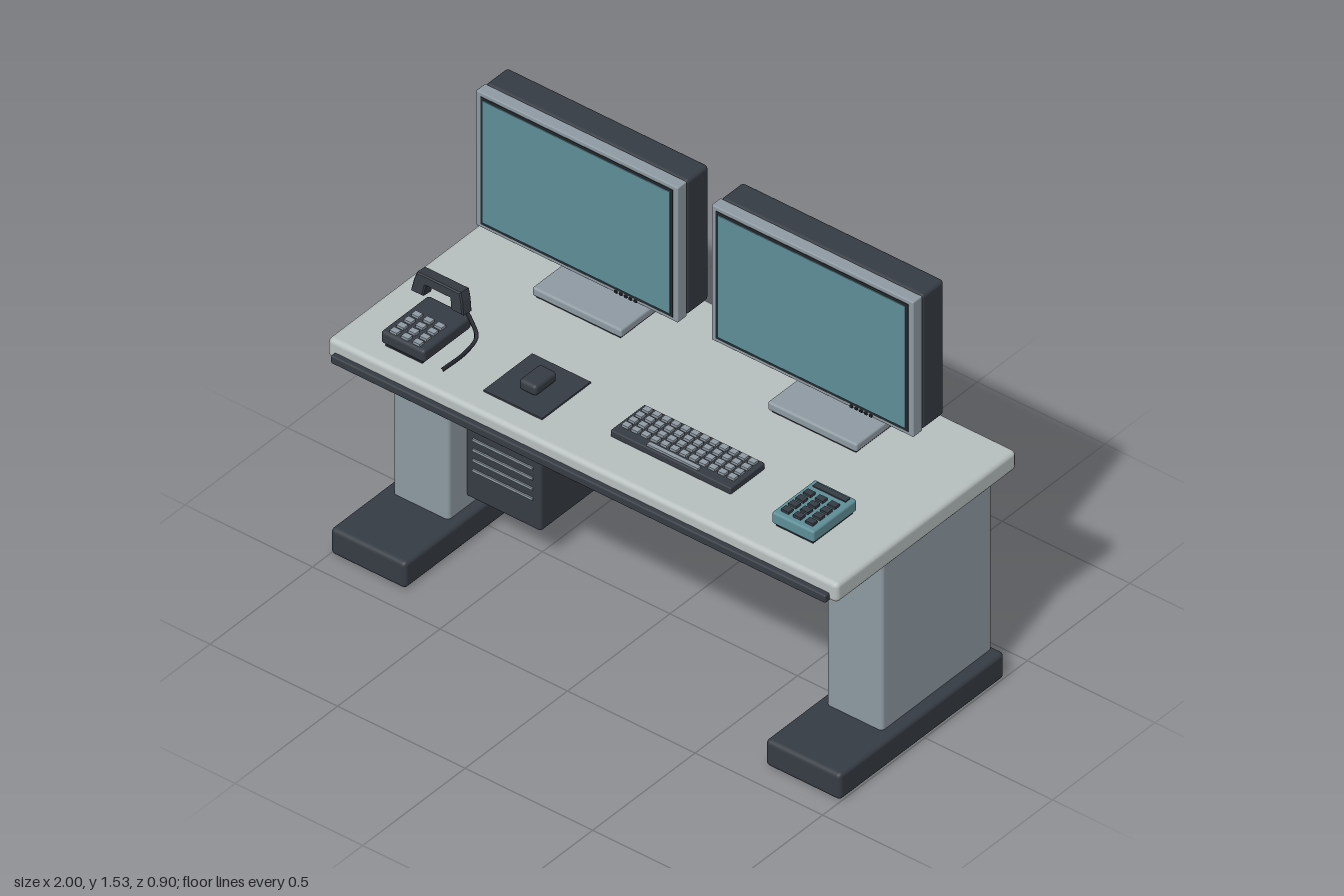
import * as THREE from 'three';
import { RoundedBoxGeometry } from 'three/addons/geometries/RoundedBoxGeometry.js';

const mat = (name, color) => {
  const m = new THREE.MeshStandardMaterial({ color });
  m.name = name;
  return m;
};

export function createModel() {
  const pale = mat('pale laminate', 0xb8c0bf);
  const grey = mat('blue grey metal', 0x8f9ba3);
  const dark = mat('dark plastic', 0x363c44);
  const black = mat('black trim', 0x23282e);
  const teal = mat('teal', 0x5f8e98);
  const model = new THREE.Group();

  const group = (name, parent = model) => {
    const g = new THREE.Group();
    g.name = name;
    parent.add(g);
    return g;
  };
  const add = (parent, name, geo, material, x = 0, y = 0, z = 0) => {
    const m = new THREE.Mesh(geo, material);
    m.name = name;
    m.position.set(x, y, z);
    parent.add(m);
    return m;
  };
  // Box from its limits, with optional rounded edges
  const box = (parent, name, material, [x0, x1], [y0, y1], [z0, z1], r = 0) => {
    const s = [x1 - x0, y1 - y0, z1 - z0];
    const geo = r ? new RoundedBoxGeometry(...s, 2, r) : new THREE.BoxGeometry(...s);
    return add(parent, name, geo, material, (x0 + x1) / 2, (y0 + y1) / 2, (z0 + z1) / 2);
  };
  const tube = (parent, name, material, pts, r) => {
    const curve = new THREE.CatmullRomCurve3(pts.map(p => new THREE.Vector3(...p)));
    return add(parent, name, new THREE.TubeGeometry(curve, 20, r, 6), material);
  };

  // Desk: top, edge strip, legs, feet, cable tray
  const desk = group('desk');
  box(desk, 'deskTop', pale, [-1, 1], [0.765, 0.84], [-0.45, 0.43], 0.018);
  box(desk, 'frontEdgeStrip', dark, [-0.97, 0.97], [0.767, 0.797], [0.42, 0.45], 0.006);
  for (const s of [-1, 1]) {
    add(desk, 'leg', new RoundedBoxGeometry(0.22, 0.665, 0.54, 2, 0.015), grey, s * 0.85, 0.4225, -0.11);
    add(desk, 'foot', new RoundedBoxGeometry(0.295, 0.1, 0.805, 2, 0.016), dark, s * 0.8525, 0.05, 0.0125);
  }
  box(desk, 'cableTray', dark, [-0.79, 0.79], [0.67, 0.767], [-0.386, -0.19]);
  for (let i = -6; i <= 6; i++)
    box(desk, 'trayPanel', grey, [i * 0.1175 - 0.033, i * 0.1175 + 0.033], [0.69, 0.745], [-0.191, -0.186]);
  for (const x of [0.075, 0.67])
    add(desk, 'cableGrommet', new THREE.CylinderGeometry(0.031, 0.031, 0.012, 20), dark, x, 0.842, -0.35);

  // Computer tower hung under the desk
  const tower = group('computerTower');
  box(tower, 'towerCase', dark, [-0.745, -0.45], [0.14, 0.685], [-0.395, 0.07], 0.01);
  for (let i = 0; i < 8; i++)
    box(tower, 'towerVent', grey, [-0.715, -0.48], [0.25 + i * 0.039, 0.259 + i * 0.039], [0.068, 0.075]);

  // Monitors, each built around x = 0
  for (const cx of [-0.463, 0.46]) {
    const m = group('monitor');
    m.position.x = cx;
    box(m, 'bezel', grey, [-0.396, 0.396], [1.012, 1.53], [-0.167, -0.122], 0.004);
    box(m, 'screenBorder', black, [-0.377, 0.377], [1.026, 1.515], [-0.125, -0.12]);
    box(m, 'screen', teal, [-0.367, 0.367], [1.037, 1.505], [-0.124, -0.117]);
    box(m, 'monitorBack', dark, [-0.396, 0.396], [1.012, 1.53], [-0.275, -0.165], 0.014);
    for (let i = 0; i < 5; i++)
      box(m, 'button', black, [0.15 + i * 0.019, 0.16 + i * 0.019], [1.015, 1.023], [-0.123, -0.117]);

    // Back plate with vents, screws and ports
    box(m, 'backPlate', pale, [-0.3, 0.3], [1.1, 1.44], [-0.292, -0.27]);
    for (let i = 0; i < 12; i++) {
      const x = -0.215 + i * 0.039;
      box(m, 'backVent', black, [x - 0.012, x + 0.012], [1.355, 1.4], [-0.296, -0.29]);
    }
    for (const x of [-0.26, 0.26]) for (const y of [1.14, 1.38])
      add(m, 'screw', new THREE.CylinderGeometry(0.011, 0.011, 0.012, 10), black, x, y, -0.292).rotation.x = Math.PI / 2;
    box(m, 'portBar', dark, [-0.155, 0.155], [1.12, 1.17], [-0.312, -0.29]);
    for (let i = 0; i < 6; i++) {
      const x = -0.125 + i * 0.05;
      box(m, 'port', i % 2 ? grey : black, [x - 0.014, x + 0.014], [1.133, 1.157], [-0.317, -0.31]);
    }

    // Mount, hinge and stand
    box(m, 'mountPlate', grey, [-0.095, 0.095], [1.17, 1.36], [-0.322, -0.29], 0.005);
    box(m, 'mountBlock', grey, [-0.055, 0.055], [1.16, 1.305], [-0.352, -0.32], 0.005);
    add(m, 'hinge', new THREE.CylinderGeometry(0.04, 0.04, 0.15, 24), dark, 0, 1.195, -0.357).rotation.z = Math.PI / 2;
    add(m, 'hingeCap', new THREE.CylinderGeometry(0.026, 0.026, 0.156, 24), grey, 0, 1.195, -0.357).rotation.z = Math.PI / 2;
    box(m, 'standPost', grey, [-0.042, 0.042], [0.875, 1.18], [-0.386, -0.338], 0.006);
    box(m, 'postFoot', grey, [-0.055, 0.055], [0.875, 0.9], [-0.388, -0.325], 0.005);
    box(m, 'standBase', grey, [-0.175, 0.175], [0.848, 0.88], [-0.39, -0.12], 0.008);
    box(m, 'basePad', black, [-0.165, 0.165], [0.838, 0.85], [-0.38, -0.13]);

    // Cables held to the post by two clips
    for (const s of [-1, 1])
      tube(m, 'cable', black, [[s * 0.09, 1.145, -0.305], [s * 0.075, 1.11, -0.345], [s * 0.04, 1.04, -0.385],
        [s * 0.025, 0.97, -0.395], [s * 0.025, 0.885, -0.385]], 0.007);
    for (const y of [0.93, 1.02]) {
      box(m, 'cableClip', black, [-0.056, 0.056], [y - 0.007, y + 0.007], [-0.398, -0.37]);
      box(m, 'clipHook', black, [-0.025, 0.025], [y - 0.007, y + 0.007], [-0.414, -0.395]);
    }
  }

  // Grid of small keys
  const keys = (parent, material, xs, zs, w, d, y0, y1) => {
    for (const x of xs) for (const z of zs)
      box(parent, 'key', material, [x - w / 2, x + w / 2], [y0, y1], [z - d / 2, z + d / 2]);
  };

  // Keyboard
  const keyboard = group('keyboard');
  box(keyboard, 'keyboardBody', dark, [-0.013, 0.46], [0.838, 0.864], [0.108, 0.276], 0.005);
  keys(keyboard, grey, Array.from({ length: 12 }, (_, i) => 0.016 + i * 0.0377), [0.131, 0.164, 0.197, 0.23], 0.026, 0.022, 0.86, 0.873);
  box(keyboard, 'spaceBar', grey, [0.125, 0.325], [0.86, 0.872], [0.253, 0.269]);

  // Mouse on its mat
  const mouse = group('mouseAndMat');
  box(mouse, 'mouseMat', dark, [-0.456, -0.226], [0.838, 0.846], [0.105, 0.343]);
  box(mouse, 'mouse', dark, [-0.376, -0.307], [0.845, 0.885], [0.167, 0.273], 0.013);

  // Calculator
  const calculator = group('calculator');
  box(calculator, 'calculatorPad', black, [0.665, 0.81], [0.838, 0.853], [0.115, 0.31]);
  box(calculator, 'calculatorBody', teal, [0.655, 0.82], [0.85, 0.894], [0.107, 0.32], 0.008);
  box(calculator, 'display', dark, [0.673, 0.802], [0.892, 0.898], [0.119, 0.142]);
  keys(calculator, dark, [0.69, 0.737, 0.785], [0.179, 0.215, 0.251, 0.287], 0.03, 0.024, 0.89, 0.903);

  // Telephone: body, raised handset and cord
  const phone = group('telephone');
  box(phone, 'phonePad', black, [-0.835, -0.69], [0.838, 0.853], [0.14, 0.35]);
  box(phone, 'phoneBody', dark, [-0.847, -0.675], [0.85, 0.898], [0.125, 0.36], 0.012);
  keys(phone, grey, [-0.805, -0.76, -0.715], [0.232, 0.268, 0.304, 0.338], 0.028, 0.022, 0.89, 0.907);
  const handset = new THREE.Shape([[-0.085, 0.075], [0.085, 0.075], [0.095, 0.045], [0.103, 0], [0.055, 0], [0.048, 0.04],
    [-0.048, 0.04], [-0.055, 0], [-0.103, 0], [-0.095, 0.045]].map(p => new THREE.Vector2(...p)));
  add(phone, 'handset', new THREE.ExtrudeGeometry(handset, { depth: 0.038, bevelEnabled: true, bevelThickness: 0.005, bevelSize: 0.004, bevelOffset: -0.004, bevelSegments: 1 }),
    dark, -0.762, 0.938, 0.149).rotation.x = -0.12;
  tube(phone, 'phoneCord', black, [[-0.675, 0.945, 0.16], [-0.65, 0.91, 0.16], [-0.622, 0.868, 0.17],
    [-0.617, 0.847, 0.23], [-0.617, 0.847, 0.348]], 0.007);

  return model;
}
